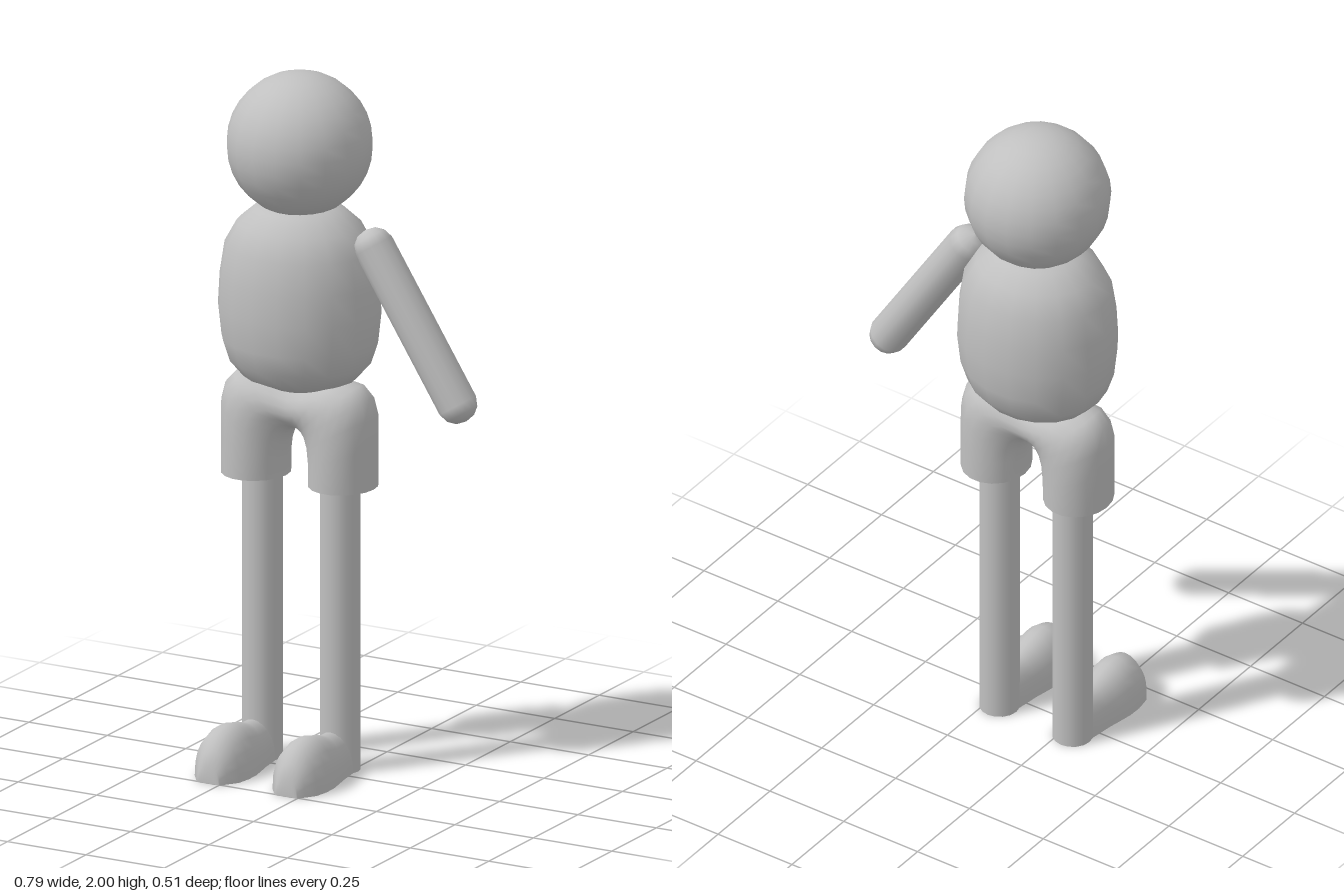
import * as THREE from 'three';

const CX = -0.165, CZ = -0.05; // body axis
const V2 = (x, y) => new THREE.Vector2(x, y);

// Skins a list of cross-sections, each a row of [x, y, z] points.
function loft(rows, closed) {
  const n = rows[0].length, index = [];
  for (let i = 0; i < rows.length - 1; i++) {
    for (let j = 0; j < (closed ? n : n - 1); j++) {
      const k = (j + 1) % n;
      const a = i * n + j, d = i * n + k, b = a + n, c = d + n;
      index.push(a, d, c, a, c, b);
    }
  }
  const geo = new THREE.BufferGeometry();
  geo.setAttribute('position', new THREE.Float32BufferAttribute(rows.flat(2), 3));
  geo.setIndex(index);
  geo.computeVertexNormals();
  return geo;
}

export function createModel() {
  const group = new THREE.Group();
  group.name = 'figure';
  const grey = new THREE.MeshStandardMaterial({ color: 0xc0c0c0, side: THREE.DoubleSide });
  grey.name = 'plain grey';

  function add(name, geo, x = 0, y = 0, z = 0, parent = group) {
    const mesh = new THREE.Mesh(geo, grey);
    mesh.name = name;
    mesh.position.set(x, y, z);
    parent.add(mesh);
    return mesh;
  }

  // Head
  add('head', new THREE.SphereGeometry(0.205, 18, 16), CX, 1.795, CZ);

  // Torso: an egg-shaped barrel, slightly flattened front to back
  const torsoProfile = [
    [0, 1.088], [0.085, 1.093], [0.165, 1.125], [0.205, 1.17], [0.225, 1.23], [0.235, 1.32],
    [0.23, 1.41], [0.216, 1.5], [0.18, 1.565], [0.13, 1.608], [0.085, 1.625], [0, 1.63],
  ].map(([r, y]) => V2(r, y));
  const torso = add('torso', new THREE.LatheGeometry(torsoProfile, 18, Math.PI / 2), CX, 0, CZ);
  torso.scale.z = 0.875;

  // Single arm with rounded ends, angled outward
  const armProfile = [
    [0, -0.3], [0.028, -0.294], [0.047, -0.277], [0.057, -0.25],
    [0.057, 0.25], [0.047, 0.277], [0.028, 0.294], [0, 0.3],
  ].map(([r, y]) => V2(r, y));
  const arm = add('leftArm', new THREE.LatheGeometry(armProfile, 14), 0.205, 1.322, CZ);
  arm.rotation.z = 0.565;

  // Shorts: an open arch; each section is outer x, y, inner x, y, half depth
  const half = [
    [0.235, 0.825, 0.043, 0.825, 0.106], [0.235, 0.95, 0.043, 0.88, 0.107],
    [0.235, 1.035, 0.037, 0.925, 0.107], [0.222, 1.085, 0.028, 0.95, 0.105],
    [0.19, 1.118, 0.018, 0.964, 0.102], [0.13, 1.128, 0.009, 0.971, 0.097],
    [0.06, 1.112, 0.004, 0.973, 0.09],
  ];
  const mirrored = half.map(([ox, oy, ix, iy, d]) => [-ox, oy, -ix, iy, d]);
  const sections = [...mirrored, [0, 1.1, 0, 0.973, 0.086], ...half.slice().reverse()];
  const shortsRows = sections.map(([ox, oy, ix, iy, d]) => {
    const ring = [];
    for (let j = 0; j < 18; j++) {
      const t = (j / 18) * Math.PI * 2, c = Math.cos(t) / 2;
      ring.push([(ox + ix) / 2 + (ox - ix) * c, (oy + iy) / 2 + (oy - iy) * c, d * Math.sin(t)]);
    }
    return ring;
  });
  add('shorts', loft(shortsRows, true), CX, 0, CZ);

  // Shoe sections: z, half width, height
  const shoe = [
    [-0.05, 0.05, 0.118], [0.0, 0.057, 0.12], [0.04, 0.062, 0.12], [0.08, 0.07, 0.132],
    [0.12, 0.077, 0.142], [0.16, 0.078, 0.144], [0.205, 0.071, 0.13],
    [0.235, 0.05, 0.088], [0.253, 0.036, 0.05], [0.254, 0.034, 0],
  ];
  const upper = loft(shoe.map(([z, w, h]) => {
    const arc = [];
    for (let j = 0; j <= 12; j++) {
      const t = (j / 12) * Math.PI;
      arc.push([w * Math.cos(t), h * Math.sin(t) ** 0.85, z]);
    }
    return arc;
  }), false);
  const sole = loft(shoe.map(([z, w]) => [[-w, 0, z], [w, 0, z]]), false);
  const legGeo = new THREE.CylinderGeometry(0.057, 0.057, 0.98, 16);

  // Legs with shoes
  for (const [name, side] of [['rightLeg', -1], ['leftLeg', 1]]) {
    const leg = new THREE.Group();
    leg.name = name;
    leg.position.x = CX + 0.005 + side * 0.124;
    group.add(leg);
    add('shin', legGeo, 0, 0.49, CZ, leg);
    add('shoeUpper', upper, 0, 0, 0, leg);
    add('shoeSole', sole, 0, 0, 0, leg);
  }
  return group;
}
